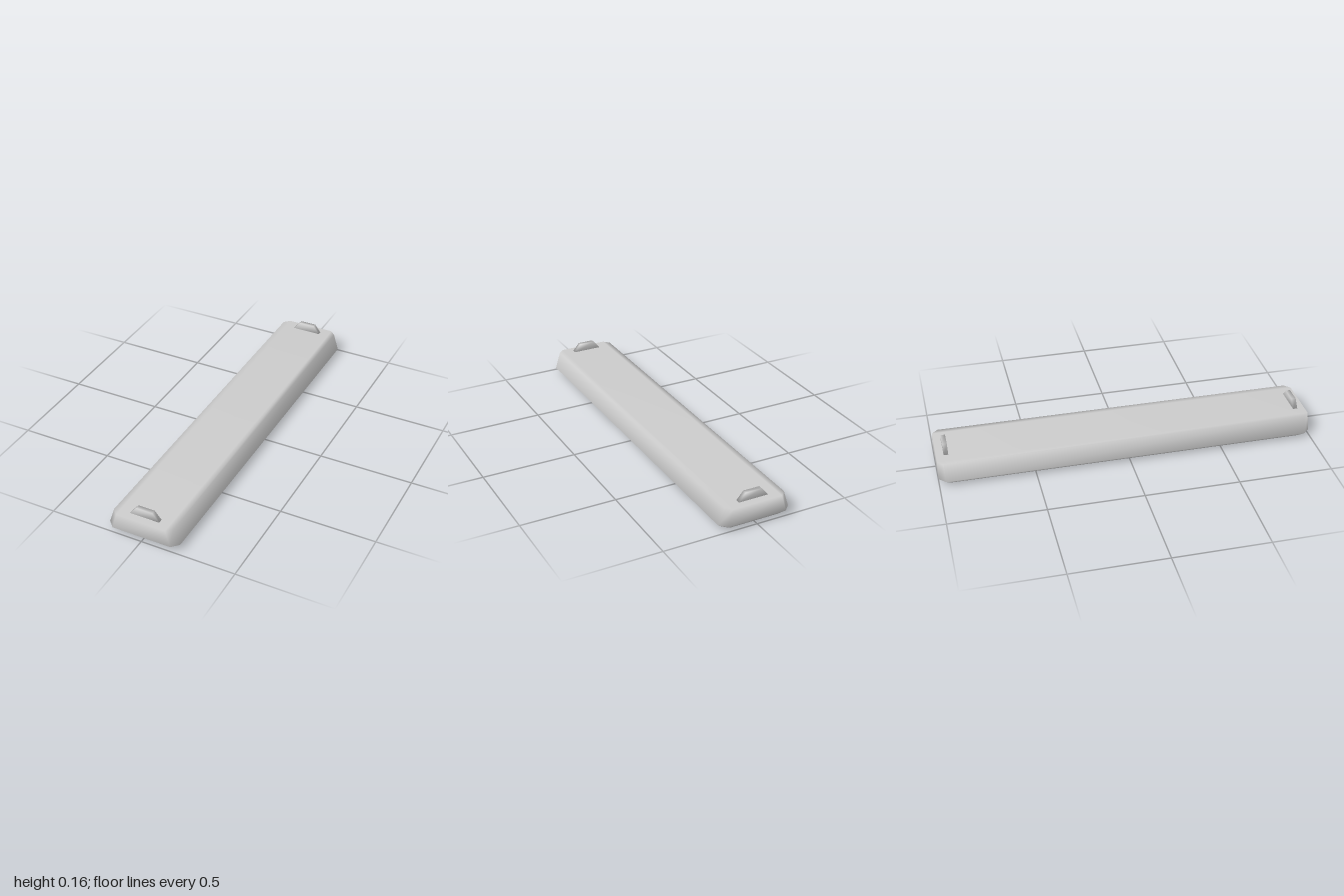
import * as THREE from 'three';

const material = new THREE.MeshStandardMaterial({ color: 0xcccccc });

// Rectangle with cut corners at height y, counter-clockwise seen from above
function ring(hx, hz, y, cut) {
  return [
    [hx, hz - cut], [hx, -hz + cut], [hx - cut, -hz], [-hx + cut, -hz],
    [-hx, -hz + cut], [-hx, hz - cut], [-hx + cut, hz], [hx - cut, hz],
  ].map(([x, z]) => [x, y, z]);
}

// Plain rectangle at height y, in the same order
function rectangle(hx, hz, y) {
  return [[hx, y, hz], [hx, y, -hz], [-hx, y, -hz], [-hx, y, hz]];
}

// Smooth skin through a stack of rings, closed at both ends by strips of quads
function loft(rings) {
  const n = rings[0].length;
  const index = [];
  for (let r = 0; r < rings.length - 1; r++) {
    for (let i = 0; i < n; i++) {
      const a = r * n + i, b = r * n + (i + 1) % n;
      index.push(a, b, b + n, a, b + n, a + n);
    }
  }
  const last = (rings.length - 1) * n;
  for (let i = 0; i < n / 2 - 1; i++) {
    const a = (n - i) % n, b = i + 1, c = i + 2, d = n - i - 1;
    index.push(a, c, b, a, d, c);
    index.push(last + a, last + b, last + c, last + a, last + c, last + d);
  }
  const geometry = new THREE.BufferGeometry();
  geometry.setAttribute('position', new THREE.Float32BufferAttribute(rings.flat(2), 3));
  geometry.setIndex(index.filter((_, k) => {
    const [p, q, s] = index.slice(k - k % 3, k - k % 3 + 3);
    return p !== q && q !== s && s !== p;
  }));
  geometry.computeVertexNormals();
  return geometry;
}

export function createModel() {
  const group = new THREE.Group();
  const add = (name, geometry) => {
    const mesh = new THREE.Mesh(geometry, material);
    mesh.name = name;
    group.add(mesh);
    return mesh;
  };

  // Housing: cavity ceiling, cavity wall, rim, flared outside, flat top
  add('housing', loft([
    ring(0.145, 0.95, 0.1, 0.03),
    ring(0.15, 0.955, 0.02, 0.03),
    ring(0.163, 0.97, 0, 0.03),
    ring(0.193, 1, 0.028, 0.035),
    ring(0.163, 0.998, 0.117, 0.03),
  ]));

  // Two lamp tubes with rounded ends, hung in the cavity
  for (const side of [-1, 1]) {
    const tube = add(side > 0 ? 'leftTube' : 'rightTube', new THREE.CapsuleGeometry(0.033, 1.81, 4, 12));
    tube.rotation.x = Math.PI / 2;
    tube.position.set(side * 0.07, 0.068, 0);
  }

  // Softly shaded trapezoid hanging tabs near both ends
  for (const end of [-1, 1]) {
    const tab = add(end > 0 ? 'frontTab' : 'backTab',
      loft([rectangle(0.083, 0.012, 0.113), rectangle(0.044, 0.012, 0.16)]));
    tab.position.z = end * 0.947;
  }
  return group;
}
